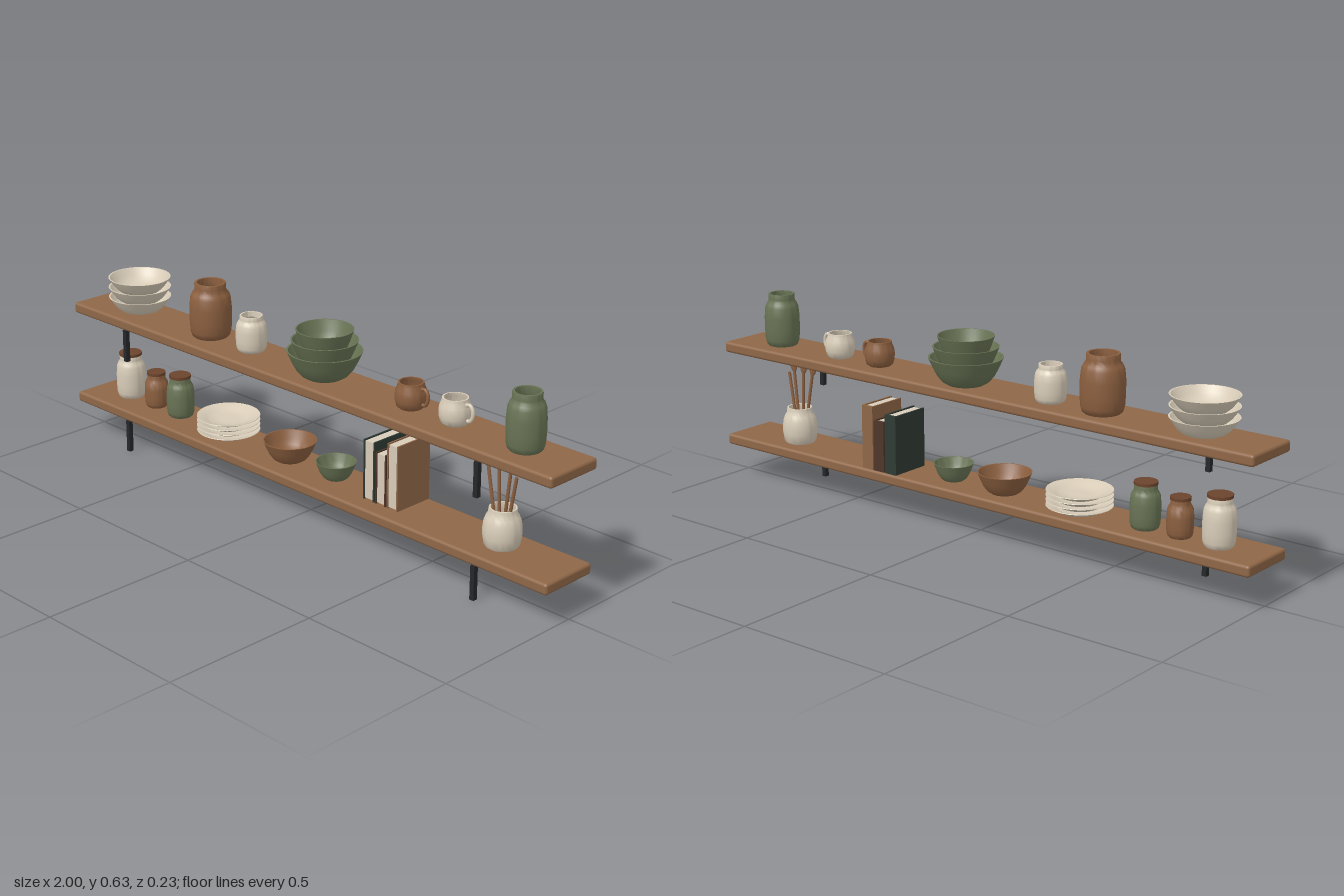
import * as THREE from 'three';
import { RoundedBoxGeometry } from 'three/addons/geometries/RoundedBoxGeometry.js';
import { toCreasedNormals } from 'three/addons/utils/BufferGeometryUtils.js';

const mat = (name, color) => new THREE.MeshStandardMaterial({ name, color });

export function createModel() {
  const root = new THREE.Group();
  root.name = 'stockedShelves';
  const wood = mat('wood', 0x8f6747);
  const terracotta = mat('terracotta', 0x8b5f3f);
  const sage = mat('sage', 0x687354);
  const cream = mat('cream', 0xd8ccb8);
  const lidBrown = mat('lidBrown', 0x6b432c);
  const iron = mat('iron', 0x25272a);
  const bookGreen = mat('bookGreen', 0x2f3b34);
  const bookBrown = mat('bookBrown', 0x4e3529);
  const LOW = 0.14, HIGH = 0.452;

  function add(parent, name, geometry, material, x = 0, y = 0, z = 0) {
    const m = new THREE.Mesh(geometry, material);
    m.name = name;
    m.position.set(x, y, z);
    parent.add(m);
    return m;
  }
  function group(name, x, y, z = 0) {
    const g = new THREE.Group();
    g.name = name;
    g.position.set(x, y, z);
    root.add(g);
    return g;
  }
  // Turned shape: [radius, height] pairs scaled by r and h
  function lathe(points, r, h) {
    const pts = points.map(([a, b]) => new THREE.Vector2(a * r, b * h));
    return toCreasedNormals(new THREE.LatheGeometry(pts, 40), 0.65);
  }

  // Profiles run from the outer base, over the lip and down the inside
  const JAR = [[0, 0], [0.8, 0], [0.9, 0.035], [0.97, 0.12], [1, 0.3], [1, 0.55], [0.95, 0.74], [0.87, 0.81],
    [0.76, 0.86], [0.74, 0.9], [0.75, 0.98], [0.73, 1], [0.62, 1], [0.6, 0.86], [0.85, 0.72], [0.88, 0.1], [0, 0.06]];
  const CROCK = [[0, 0], [0.83, 0], [0.92, 0.06], [0.99, 0.28], [1, 0.45], [0.95, 0.65], [0.85, 0.78],
    [0.74, 0.86], [0.73, 0.96], [0.71, 1], [0.62, 1], [0.6, 0.84], [0.86, 0.6], [0.85, 0.12], [0, 0.06]];
  const BOWL = [[0, 0], [0.5, 0], [0.64, 0.12], [0.77, 0.34], [0.87, 0.6], [1, 1],
    [0.95, 1], [0.82, 0.62], [0.7, 0.36], [0.52, 0.16], [0.28, 0.09], [0, 0.08]];
  const PLATE = [[0, 0], [0.56, 0], [0.64, 0.15], [0.72, 0.45], [1, 0.92], [0.99, 1],
    [0.7, 0.6], [0.6, 0.3], [0.3, 0.25], [0, 0.25]];
  const MUG = [[0, 0], [0.72, 0], [0.88, 0.08], [0.98, 0.3], [1, 0.5], [0.95, 0.72], [0.83, 0.88], [0.8, 1],
    [0.7, 1], [0.73, 0.87], [0.86, 0.7], [0.89, 0.35], [0.75, 0.14], [0, 0.1]];

  // Boards with an iron post under each end
  for (const [name, top] of [['lower', LOW], ['upper', HIGH]]) {
    add(root, name + 'Board', new RoundedBoxGeometry(2, 0.035, 0.195, 3, 0.009), wood, 0, top - 0.0175, 0.0075);
    for (const x of [-0.745, 0.74])
      add(root, name + 'Bracket', new THREE.BoxGeometry(0.015, 0.106, 0.015), iron, x, top - 0.087, 0.0975);
  }

  // Stacks of bowls: x, shelf, colour, height, rise, radii from the bottom up
  for (const [name, x, y, m, h, rise, radii] of [
    ['creamBowl', -0.787, HIGH, cream, 0.05, 0.032, [0.1, 0.1, 0.1]],
    ['sageBowl', 0.057, HIGH, sage, 0.083, 0.033, [0.114, 0.101, 0.087]],
    ['terracottaBowl', -0.092, LOW, terracotta, 0.065, 0, [0.083]],
    ['smallSageBowl', 0.106, LOW, sage, 0.055, 0, [0.062]],
  ]) {
    const g = group(name + 's', x, y);
    radii.forEach((r, i) => add(g, name, lathe(BOWL, r, h), m, 0, i * rise, 0));
  }

  // Plates
  const plates = group('plateStack', -0.37, LOW);
  for (let i = 0; i < 4; i++) add(plates, 'plate', lathe(PLATE, 0.1, 0.022), cream, 0, i * 0.0155, 0);

  // Open jars
  add(root, 'terracottaJar', lathe(JAR, 0.066, 0.175), terracotta, -0.445, HIGH, 0);
  add(root, 'creamJar', lathe(JAR, 0.048, 0.113), cream, -0.26, HIGH, 0);
  add(root, 'sageJar', lathe(JAR, 0.056, 0.169), sage, 0.827, HIGH, 0.004);

  // Lidded jars
  for (const [name, x, r, h, m] of [['creamCanister', -0.847, 0.048, 0.145, cream],
    ['terracottaCanister', -0.718, 0.039, 0.111, terracotta], ['sageCanister', -0.6, 0.045, 0.132, sage]]) {
    const g = group(name, x, LOW);
    add(g, 'canisterBody', lathe(JAR, r, h), m);
    add(g, 'canisterLid', new THREE.CylinderGeometry(r * 0.77, r * 0.77, 0.009, 40), lidBrown, 0, h + 0.003, 0);
  }

  // Mugs with a looped handle
  for (const [name, x, m] of [['terracottaMug', 0.403, terracotta], ['creamMug', 0.57, cream]]) {
    const g = group(name, x, HIGH);
    add(g, 'mugBody', lathe(MUG, 0.047, 0.078), m);
    const loop = new THREE.CatmullRomCurve3([[0.039, 0.064], [0.055, 0.066], [0.064, 0.053],
      [0.063, 0.032], [0.053, 0.019], [0.04, 0.02]].map(([a, b]) => new THREE.Vector3(a, b, 0)));
    add(g, 'mugHandle', new THREE.TubeGeometry(loop, 24, 0.0055, 10), m);
  }

  // Books, spines to the back: left edge, width, height, cover
  for (const [x, w, h, m] of [[0.267, 0.044, 0.188, bookGreen], [0.316, 0.041, 0.162, bookBrown],
    [0.361, 0.043, 0.203, wood]]) {
    const g = group('book', x + w / 2, LOW, -0.0175);
    const t = 0.005;
    for (const s of [-1, 1])
      add(g, 'bookCover', new THREE.BoxGeometry(t, h, 0.135), m, s * (w - t) / 2, h / 2, 0);
    add(g, 'bookSpine', new THREE.BoxGeometry(w - 2 * t, h, 0.008), m, 0, h / 2, -0.0635);
    add(g, 'bookPages', new THREE.BoxGeometry(w - 2 * t, h - 0.008, 0.124), cream, 0, h / 2, 0.0025);
  }

  // Crock with wooden utensils fanned out: foot x, tip x, tip height, has a spoon head
  const crock = group('utensilCrock', 0.755, LOW);
  add(crock, 'crockBody', lathe(CROCK, 0.056, 0.116), cream);
  for (const [x0, x1, h, spoon] of [[-0.012, -0.056, 0.25, true], [-0.004, -0.014, 0.25, true],
    [0.006, 0.03, 0.25, true], [0.016, 0.05, 0.222, false]]) {
    const a = new THREE.Vector3(x0, 0.015, 0.008), b = new THREE.Vector3(x1, h, 0.008);
    const u = new THREE.Group();
    u.name = 'utensil';
    u.position.copy(a);
    u.rotation.z = -Math.atan2(x1 - x0, h - 0.015);
    crock.add(u);
    const len = a.distanceTo(b);
    add(u, 'utensilHandle', new THREE.CylinderGeometry(0.005, 0.005, len, 12), terracotta, 0, len / 2, 0);
    if (spoon) add(u, 'spoonHead', new THREE.SphereGeometry(1, 20, 14), terracotta, 0, len, 0)
      .scale.set(0.014, 0.024, 0.006);
  }
  return root;
}
